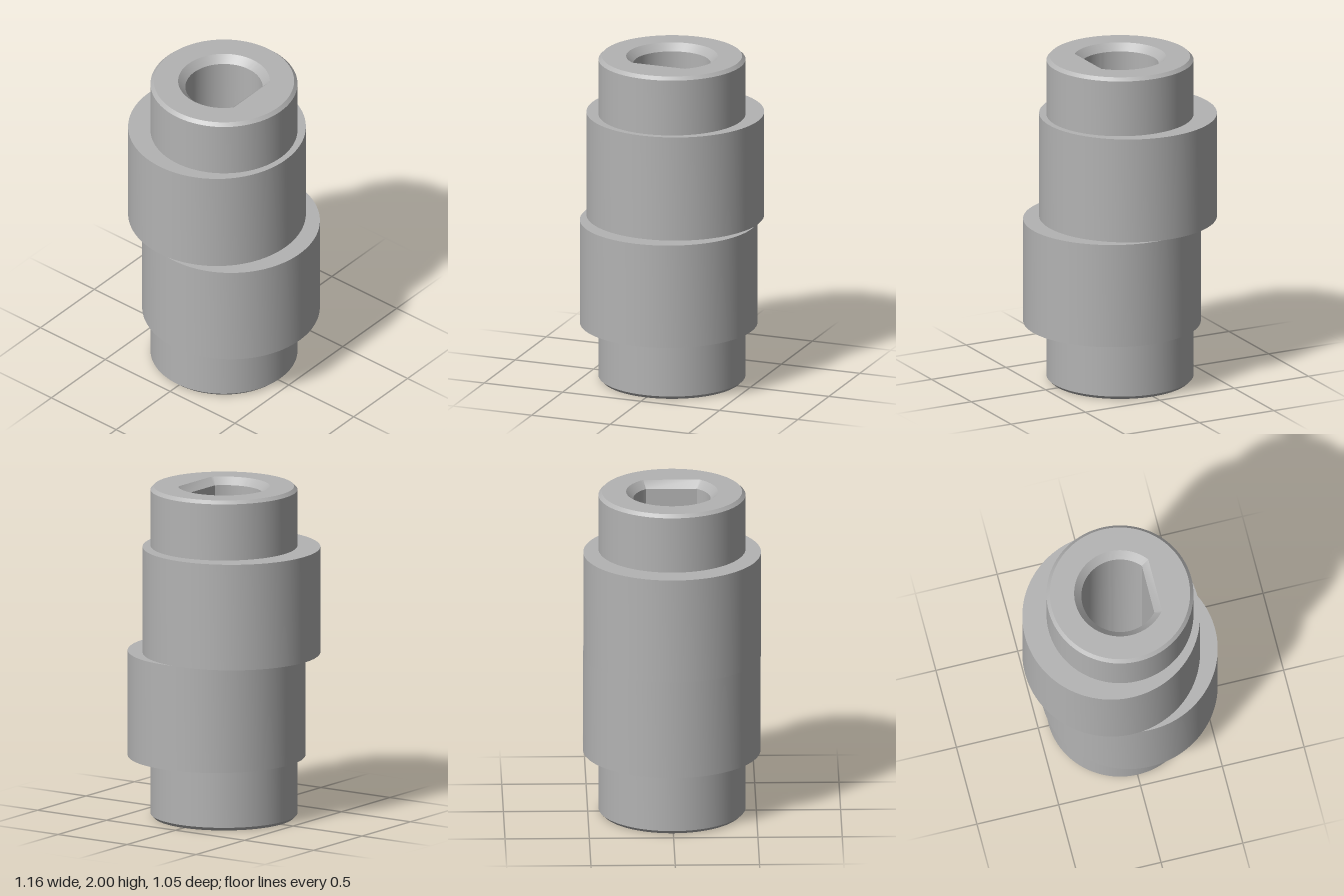
import * as THREE from 'three';
import { toCreasedNormals } from 'three/addons/utils/BufferGeometryUtils.js';

const FLOOR = 0.37; // height of the bore floor
const steel = new THREE.MeshStandardMaterial({ color: 0xb3b3b3 });
steel.name = 'steel';

// D-shaped outline: a circle of radius r cut by a flat at x = f
function dPoints(r, f, n = 72) {
  const a = Math.acos(f / r);
  return Array.from({ length: n + 1 }, (_, i) => {
    const t = a + (i / n) * 2 * (Math.PI - a);
    return new THREE.Vector2(r * Math.cos(t), r * Math.sin(t));
  });
}

function circle(r, cx = 0) {
  return new THREE.Shape().absarc(cx, 0, r, 0, Math.PI * 2, false);
}

// Flat upward face with one hole
function plate(shape, hole, y) {
  shape.holes.push(hole);
  return new THREE.ShapeGeometry(shape, 96).rotateX(-Math.PI / 2).translate(0, y, 0);
}

// Inward-facing wall through D outlines listed from top to bottom
function boreWall(levels) {
  const pos = [], idx = [];
  let n = 0;
  for (const [r, f, y] of levels) {
    const pts = dPoints(r, f);
    n = pts.length;
    for (const p of pts) pos.push(p.x, y, p.y);
  }
  for (let j = 0; j < levels.length - 1; j++) {
    for (let i = 0; i < n; i++) {
      const a = j * n + i, b = j * n + (i + 1) % n;
      idx.push(a, a + n, b, a + n, b + n, b);
    }
  }
  const g = new THREE.BufferGeometry();
  g.setAttribute('position', new THREE.Float32BufferAttribute(pos, 3));
  g.setIndex(idx);
  return toCreasedNormals(g, 0.5);
}

// Eccentric disc with an opening for the shaft
function lobe(cx, y0, y1) {
  const shape = circle(0.527, cx);
  shape.holes.push(circle(0.43));
  const g = new THREE.ExtrudeGeometry(shape, { depth: y1 - y0, bevelEnabled: false, curveSegments: 96 });
  return toCreasedNormals(g.rotateX(-Math.PI / 2).translate(0, y0, 0), 0.5);
}

export function createModel() {
  const group = new THREE.Group();
  group.name = 'eccentricShaft';
  const add = (name, geometry) => {
    const mesh = new THREE.Mesh(geometry, steel);
    mesh.name = name;
    group.add(mesh);
  };

  // Through hole, bottom face and chamfered outside in one profile
  const profile = [
    [0.108, FLOOR], [0.087, FLOOR - 0.021], [0.087, 0.021], [0.108, 0],
    [0.416, 0], [0.436, 0.02], [0.436, 1.98], [0.416, 2],
  ].map(([x, y]) => new THREE.Vector2(x, y));
  add('shaft', toCreasedNormals(new THREE.LatheGeometry(profile, 96), 0.5));

  // Two lobes offset to opposite sides
  add('upperLobe', lobe(-0.054, 1, 1.64));
  add('lowerLobe', lobe(0.054, 0.365, 1));

  // D-shaped bore with a chamfered mouth
  add('topFace', plate(circle(0.416), new THREE.Path(dPoints(0.272, 0.215)), 2));
  add('boreWall', boreWall([[0.272, 0.215, 2], [0.229, 0.172, 1.957], [0.229, 0.172, FLOOR]]));
  add('boreFloor', plate(new THREE.Shape(dPoints(0.229, 0.172)), circle(0.108), FLOOR));

  return group;
}
